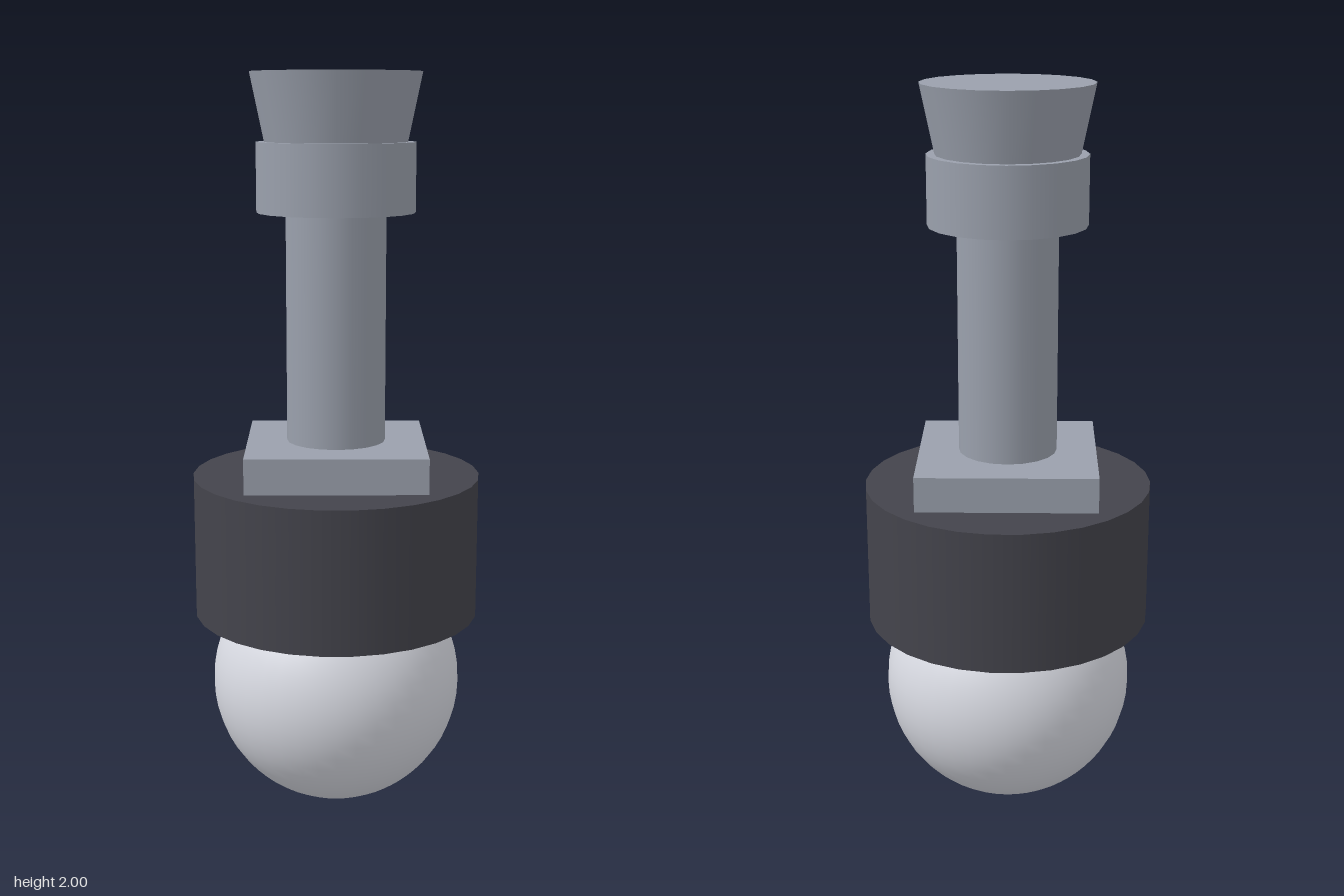
import * as THREE from 'three';

export function createModel() {
  const model = new THREE.Group();
  model.name = 'bulbFitting';

  const steel = new THREE.MeshStandardMaterial({ name: 'steel grey', color: 0x9aa0ac });
  const dark = new THREE.MeshStandardMaterial({ name: 'dark collar', color: 0x44444c });
  const pale = new THREE.MeshStandardMaterial({ name: 'pale globe', color: 0xd8dae2 });

  const add = (name, geometry, material, y) => {
    const mesh = new THREE.Mesh(geometry, material);
    mesh.name = name;
    mesh.position.y = y;
    model.add(mesh);
    return mesh;
  };

  // Round part between two heights, with a corner on the x axis
  const round = (name, rTop, rBottom, y0, y1, sides, material) => {
    const geometry = new THREE.CylinderGeometry(rTop, rBottom, y1 - y0, sides);
    geometry.rotateY(Math.PI / 2);
    return add(name, geometry, material, (y0 + y1) / 2);
  };

  // Globe, partly sunk into the collar
  add('globe', new THREE.SphereGeometry(0.343, 40, 28), pale, 0.346);

  // Collar and square mounting plate
  round('collar', 0.39, 0.39, 0.547, 0.933, 30, dark);
  add('mountingPlate', new THREE.BoxGeometry(0.48, 0.096, 0.48), steel, 0.98);

  // Stem, ring and flared cap
  round('stem', 0.133, 0.133, 1.028, 1.64, 20, steel);
  round('ring', 0.21, 0.21, 1.64, 1.822, 20, steel);
  round('flaredCap', 0.225, 0.188, 1.822, 2, 20, steel);

  return model;
}
